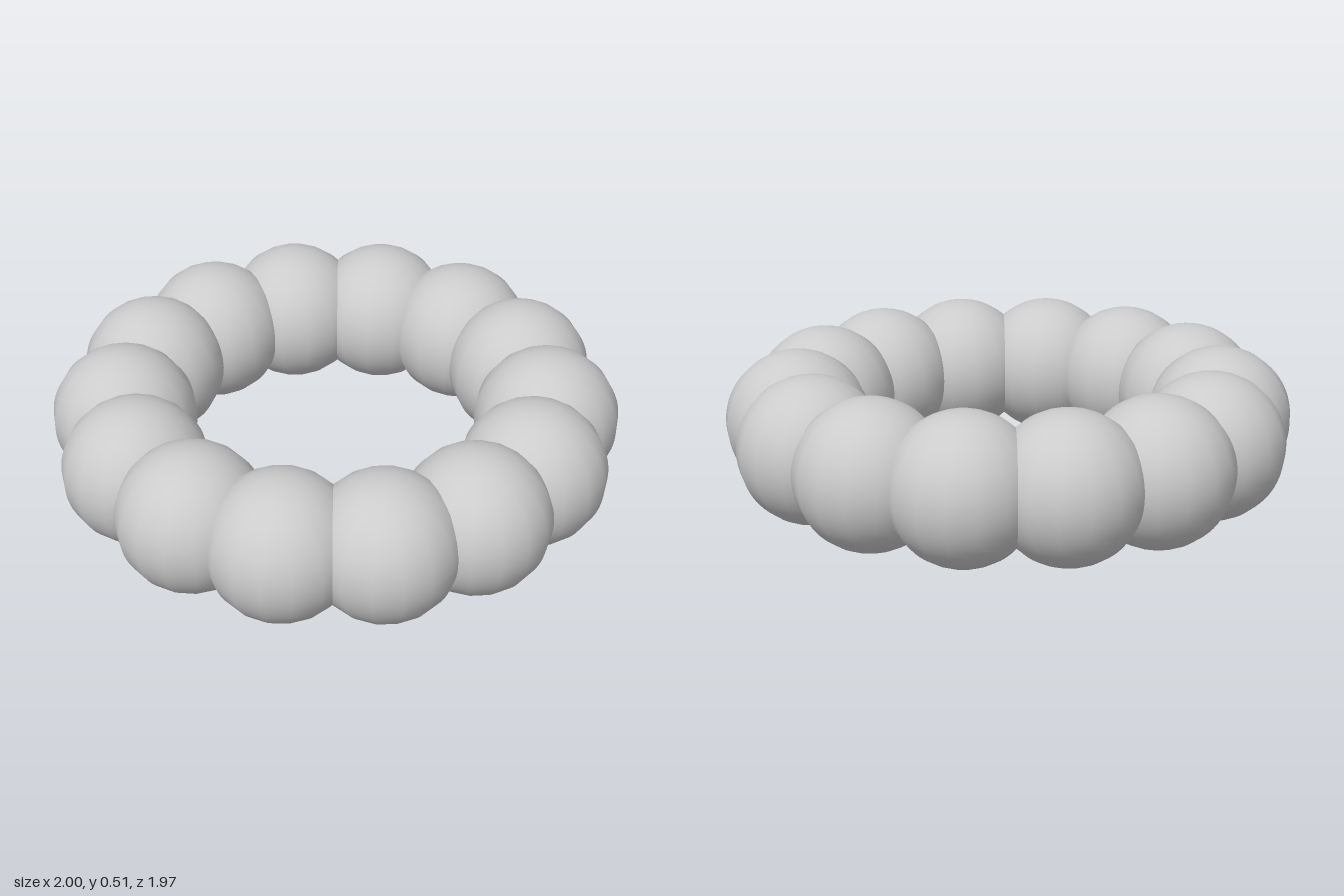
import * as THREE from 'three';

const BEADS = 14;
const RING_RADIUS = 0.745;
const BEAD_RADIUS = 0.255;
const START = THREE.MathUtils.degToRad(-2.3);

export function createModel() {
  const group = new THREE.Group();
  group.name = 'beadRing';
  const material = new THREE.MeshStandardMaterial({ color: 0xcccccc });
  // Coarse around the equator, fine from pole to pole
  const bead = new THREE.SphereGeometry(BEAD_RADIUS, 16, 32);

  // Overlapping beads evenly spaced around the ring
  for (let i = 0; i < BEADS; i++) {
    const angle = START + (i / BEADS) * Math.PI * 2;
    const mesh = new THREE.Mesh(bead, material);
    mesh.name = `bead${i + 1}`;
    mesh.position.set(Math.cos(angle) * RING_RADIUS, BEAD_RADIUS, Math.sin(angle) * RING_RADIUS);
    mesh.rotation.y = -angle;
    group.add(mesh);
  }
  return group;
}
